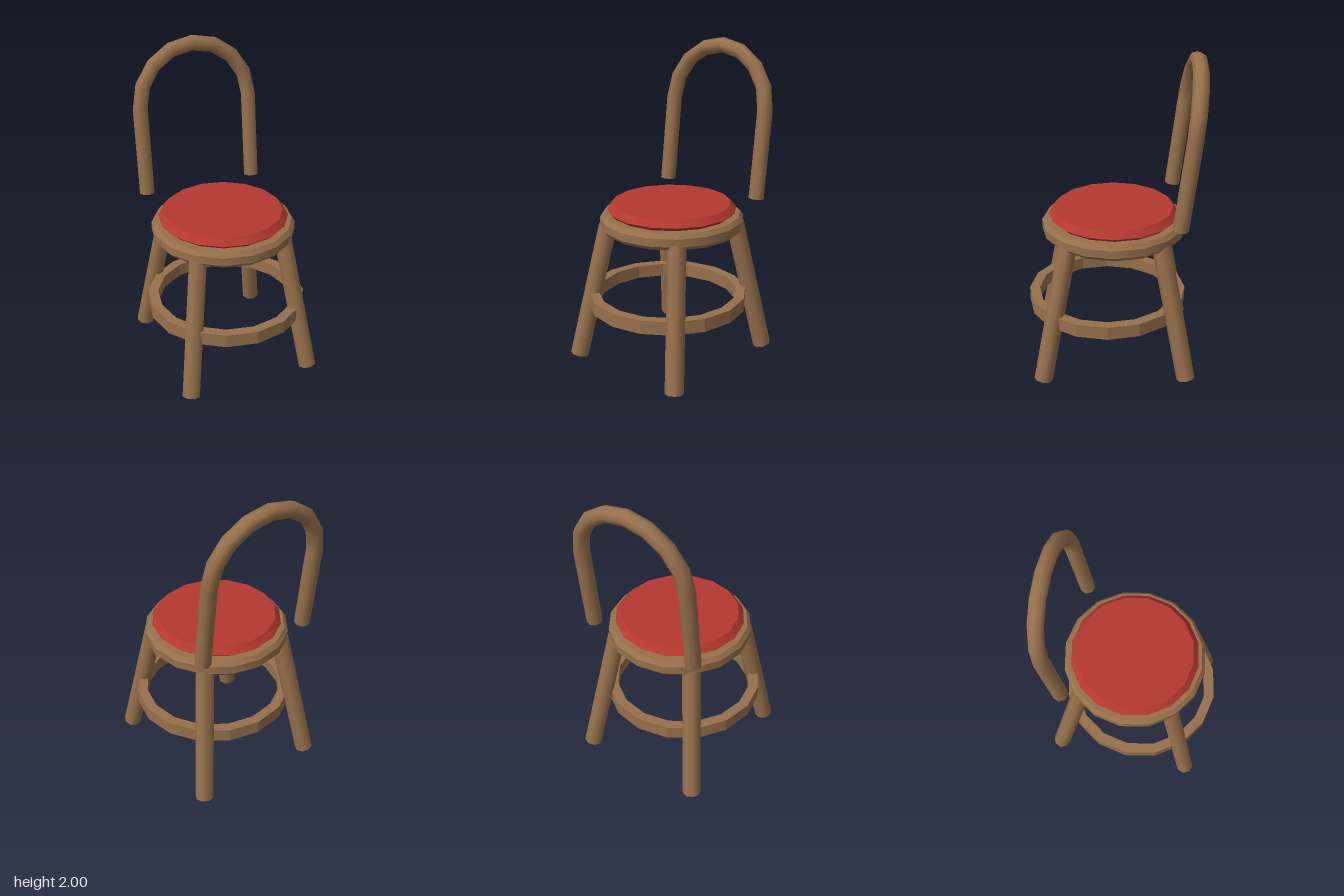
import * as THREE from 'three';
import { toCreasedNormals } from 'three/addons/utils/BufferGeometryUtils.js';

const wood = new THREE.MeshStandardMaterial({ color: 0x96704b });
wood.name = 'wood';
const redFabric = new THREE.MeshStandardMaterial({ color: 0xb43830 });
redFabric.name = 'redFabric';

// Path of the bent back: straight up, half circle, straight down, leaning backwards.
class BackPath extends THREE.Curve {
  getUtoTmapping(u) { return u; }
  getPoint(t, target = new THREE.Vector3()) {
    const r = 0.368, bottom = 1.03, spring = 1.583;
    const s = t * 10; // one step per straight side, eight for the arc
    let x, y;
    if (s < 1 || s > 9) {
      const k = s < 1 ? s : 10 - s;
      x = s < 1 ? -r : r;
      y = bottom + (spring - bottom) * k;
    } else {
      const a = Math.PI * (1 - (s - 1) / 8);
      x = r * Math.cos(a);
      y = spring + r * Math.sin(a);
    }
    return target.set(x, y, -0.39 - (y - bottom) * 0.12);
  }
}

// Sixteen-sided turned part from a list of [radius, height] points
function turned(name, profile, material, crease) {
  const points = profile.map(([r, y]) => new THREE.Vector2(r, y));
  const mesh = new THREE.Mesh(toCreasedNormals(new THREE.LatheGeometry(points, 16), crease), material);
  mesh.name = name;
  return mesh;
}

// Round bar between two points
function bar(name, from, to, radius) {
  const dir = to.clone().sub(from);
  const mesh = new THREE.Mesh(new THREE.CylinderGeometry(radius, radius, dir.length(), 8), wood);
  mesh.position.copy(from).add(to).multiplyScalar(0.5);
  mesh.quaternion.setFromUnitVectors(new THREE.Vector3(0, 1, 0), dir.normalize());
  mesh.name = name;
  return mesh;
}

export function createModel() {
  const model = new THREE.Group();
  model.name = 'chair';

  // Seat and cushion
  model.add(turned('seat', [
    [0, 0.86], [0.43, 0.86], [0.452, 0.885], [0.452, 0.935], [0.43, 0.962], [0, 0.962],
  ], wood, 0.6));
  model.add(turned('cushion', [
    [0, 0.955], [0.37, 0.955], [0.407, 0.987], [0.372, 1.028], [0, 1.028],
  ], redFabric, 0.6));

  // Splayed legs
  for (const sx of [1, -1]) {
    for (const sz of [1, -1]) {
      const name = (sz > 0 ? 'front' : 'back') + (sx > 0 ? 'Left' : 'Right') + 'Leg';
      model.add(bar(name,
        new THREE.Vector3(0.406 * sx, 0.013, 0.448 * sz),
        new THREE.Vector3(0.283 * sx, 0.885, 0.283 * sz), 0.058));
    }
  }

  // Foot ring, set slightly forward
  const ring = turned('footRing', [
    [0.44, 0.362], [0.504, 0.362], [0.504, 0.447], [0.44, 0.447], [0.44, 0.362],
  ], wood, 0.3);
  ring.position.z = 0.043;
  model.add(ring);

  // Bent back with closed ends
  const backrest = new THREE.Group();
  backrest.name = 'backrest';
  const path = new BackPath();
  const hoop = new THREE.Mesh(new THREE.TubeGeometry(path, 10, 0.049, 8), wood);
  hoop.name = 'backHoop';
  backrest.add(hoop);
  for (const t of [0, 1]) {
    const cap = new THREE.Mesh(new THREE.CircleGeometry(0.049, 8), wood);
    cap.position.copy(path.getPoint(t));
    cap.rotation.x = Math.PI / 2 - Math.atan(0.12);
    cap.name = t ? 'leftHoopEnd' : 'rightHoopEnd';
    backrest.add(cap);
  }
  model.add(backrest);

  return model;
}
